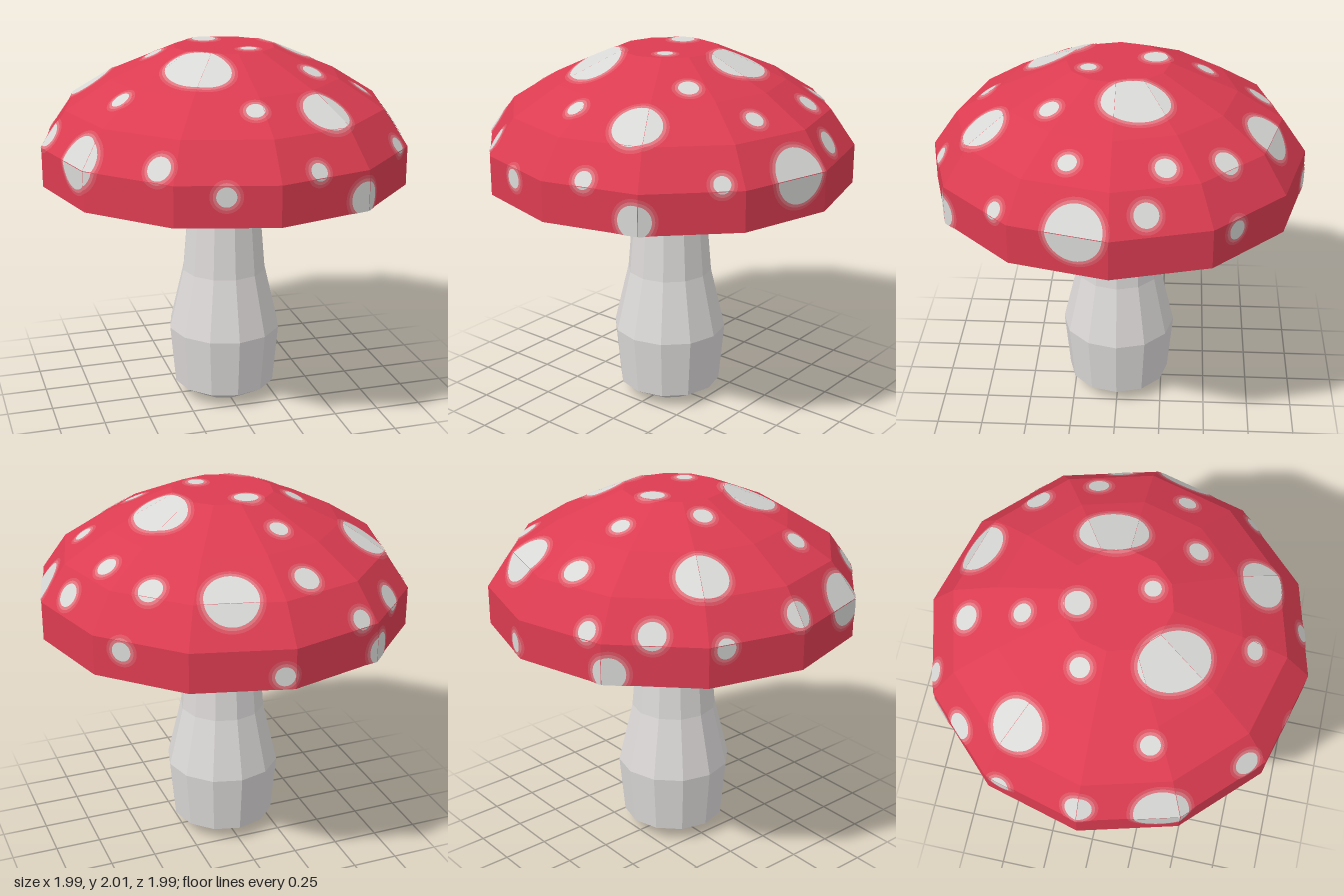
import * as THREE from 'three';

const SIDES = 12;
const V = (x, y, z) => new THREE.Vector3(x, y, z);

const material = (name, color) => {
  const m = new THREE.MeshStandardMaterial({ color });
  m.name = name;
  return m;
};

// Flat facets of a twelve-sided turned shape; profile of [radius, height] runs over the outside from top to bottom
function turnedFacets(profile) {
  const at = ([r, y], j) => {
    const a = (j / SIDES) * Math.PI * 2;
    return V(r * Math.sin(a), y, r * Math.cos(a));
  };
  const facets = [];
  for (let i = 0; i < profile.length - 1; i++) {
    const [top, low] = [profile[i], profile[i + 1]];
    for (let j = 0; j < SIDES; j++) {
      let pts;
      if (top[0] === 0) pts = [at(top, 0), at(low, j), at(low, j + 1)];
      else if (low[0] === 0) pts = [at(top, j), at(low, 0), at(top, j + 1)];
      else pts = [at(top, j), at(low, j), at(low, j + 1), at(top, j + 1)];
      const n = pts[1].clone().sub(pts[0]).cross(pts[2].clone().sub(pts[0])).normalize();
      facets.push({ pts, n });
    }
  }
  return facets;
}

// Mesh from convex polygons, with flat normals
function polygonMesh(name, polygons, mat) {
  const pos = [];
  for (const p of polygons)
    for (let i = 1; i < p.length - 1; i++)
      for (const v of [p[0], p[i], p[i + 1]]) pos.push(v.x, v.y, v.z);
  const g = new THREE.BufferGeometry();
  g.setAttribute('position', new THREE.Float32BufferAttribute(pos, 3));
  g.computeVertexNormals();
  const mesh = new THREE.Mesh(g, mat);
  mesh.name = name;
  return mesh;
}

// Cut a convex polygon to the outline of a facet
function clipToFacet(poly, { pts, n }) {
  for (let i = 0; i < pts.length && poly.length; i++) {
    const a = pts[i];
    const inward = n.clone().cross(pts[(i + 1) % pts.length].clone().sub(a));
    const side = (p) => inward.dot(p.clone().sub(a));
    const out = [];
    poly.forEach((p, k) => {
      const q = poly[(k + 1) % poly.length];
      const [sp, sq] = [side(p), side(q)];
      if (sp >= 0) out.push(p);
      if (sp >= 0 !== sq >= 0) out.push(p.clone().lerp(q, sp / (sp - sq)));
    });
    poly = out;
  }
  return poly;
}

// Round or oval patch folded over the facets, lifted slightly off them
function patch(facets, { c, r, stretch = 1, axis }, grow, lift) {
  const out = [];
  for (const f of facets) {
    const d = c.clone().sub(f.pts[0]).dot(f.n);
    const R = r + grow;
    if (Math.abs(d) >= R) continue;
    const rho = Math.sqrt(R * R - d * d);
    const mid = c.clone().addScaledVector(f.n, -d);
    const v = axis.clone().addScaledVector(f.n, -axis.dot(f.n)).normalize();
    const u = v.clone().cross(f.n);
    const ring = [];
    for (let k = 0; k < 40; k++) {
      const a = (k / 40) * Math.PI * 2;
      ring.push(mid.clone()
        .addScaledVector(u, rho * Math.cos(a))
        .addScaledVector(v, (rho + r * (stretch - 1)) * Math.sin(a)));
    }
    const cut = clipToFacet(ring, f);
    if (cut.length > 2) out.push(cut.map((p) => p.clone().addScaledVector(f.n, lift)));
  }
  return out;
}

// Spots: x, y, z, radius, then optional stretch and its direction in x and z
const SPOTS = [
  [-0.40, 1.55, -0.87, 0.05], [-0.155, 1.76, -0.75, 0.065], [0.25, 1.72, -0.78, 0.135],
  [-0.66, 1.56, -0.68, 0.068], [-0.65, 1.77, -0.36, 0.13], [-0.13, 1.91, -0.45, 0.048],
  [-0.06, 2.0, -0.19, 0.063], [-0.36, 1.95, -0.11, 0.05], [0.375, 1.95, -0.105, 0.137, 1.27, 0.1, 1],
  [0.335, 1.77, 0.67, 0.125], [0.58, 1.73, -0.555, 0.063], [0.71, 1.76, -0.26, 0.053],
  [0.89, 1.60, -0.175, 0.062], [0.94, 1.52, 0.165, 0.144], [0.70, 1.77, 0.21, 0.047],
  [0.38, 1.90, 0.325, 0.052], [0.09, 2.0, 0.15, 0.042], [-0.23, 1.94, 0.325, 0.145, 1.3, 0.5, 0.87],
  [-0.62, 1.80, 0.29, 0.05], [-0.935, 1.57, 0, 0.068], [-0.88, 1.49, -0.41, 0.05],
  [-0.86, 1.53, 0.40, 0.138], [-0.54, 1.57, 0.765, 0.063], [-0.04, 1.80, 0.69, 0.046],
  [0.21, 1.54, 0.92, 0.045], [0.77, 1.54, 0.565, 0.043],
  [-0.255, 1.455, 0.93, 0.05], [0.475, 1.37, 0.86, 0.085],
  [0.75, 1.455, -0.61, 0.05], [0.05, 1.37, -0.97, 0.05], [-0.52, 1.36, -0.83, 0.083],
];

export function createModel() {
  const model = new THREE.Group();
  model.name = 'mushroom';
  const red = material('cap red', 0xdc3c51);
  const outerHalo = material('soft red', 0xdc5363);
  const innerHalo = material('pink', 0xdf7680);
  const white = material('spot white', 0xd8d8d6);
  const stemMat = material('stem white', 0xdcd8d8);

  // Stem, flaring where it meets the cap
  const stem = [[0, 1.45], [0.24, 1.45], [0.187, 1.26], [0.207, 1.08], [0.235, 0.75],
    [0.315, 0.41], [0.285, 0.08], [0.15, 0], [0, 0]];
  model.add(polygonMesh('stem', turnedFacets(stem).map((f) => f.pts), stemMat));

  // Cap with a hollow underside
  const dome = turnedFacets([[0, 2], [0.27, 2], [0.62, 1.85], [0.86, 1.7], [0.993, 1.51], [0.993, 1.3]]);
  const under = turnedFacets([[0.993, 1.3], [0.96, 1.29], [0.92, 1.32], [0.24, 1.44], [0, 1.45]]);
  const cap = new THREE.Group();
  cap.name = 'cap';
  cap.add(polygonMesh('capShell', [...dome, ...under].map((f) => f.pts), red));

  // Set each spot centre onto its nearest dome facet
  const spots = SPOTS.map(([x, y, z, r, stretch = 1, ax = z, az = -x]) => {
    const c = V(x, y, z);
    let best = { d: -Infinity };
    for (const f of dome) {
      const d = c.clone().sub(f.pts[0]).dot(f.n);
      if (d > best.d) best = { d, n: f.n };
    }
    c.addScaledVector(best.n, -best.d);
    return { c, r, stretch, axis: V(ax, 0, az) };
  });
  const gills = { c: V(0, 1.35, 0), r: 0.765, axis: V(1, 0, 0) };

  // Spots and gill disc, each with two soft rings around it
  const layers = [
    ['OuterRing', 0.032, 0.002, outerHalo],
    ['InnerRing', 0.016, 0.004, innerHalo],
    ['', 0, 0.006, white],
  ];
  for (const [suffix, grow, lift, mat] of layers) {
    cap.add(polygonMesh('spots' + suffix, spots.flatMap((s) => patch(dome, s, grow, lift)), mat));
    cap.add(polygonMesh('gillDisc' + suffix, patch(under.slice(2 * SIDES), gills, grow, lift), mat));
  }
  model.add(cap);
  return model;
}
